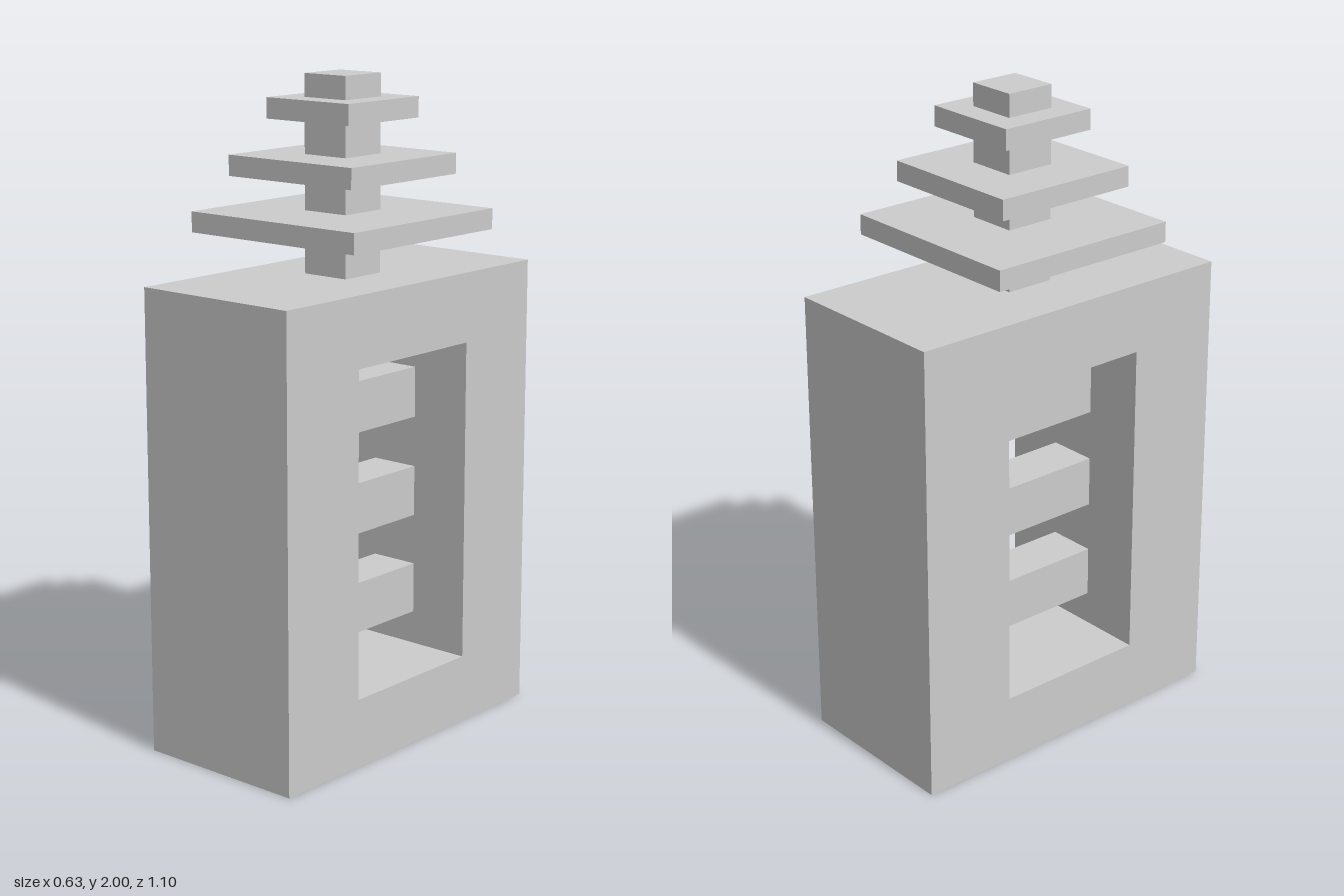
import * as THREE from 'three';

const material = new THREE.MeshStandardMaterial({ color: 0xcccccc, flatShading: true });

// Box standing between two heights, centred on the y axis
function block(name, width, depth, bottom, top) {
  const mesh = new THREE.Mesh(new THREE.BoxGeometry(width, top - bottom, depth), material);
  mesh.position.y = (bottom + top) / 2;
  mesh.name = name;
  return mesh;
}

// Rectangular outline from two opposite corners
function rectangle(path, x0, y0, x1, y1) {
  path.moveTo(x0, y0).lineTo(x1, y0).lineTo(x1, y1).lineTo(x0, y1).closePath();
  return path;
}

export function createModel() {
  const model = new THREE.Group();
  model.name = 'tower';

  // Main slab with a tall window cut through from side to side
  const bodyWidth = 0.549, bodyHeight = 1.412, halfDepth = 0.549, halfWindow = 0.247;
  const outline = rectangle(new THREE.Shape(), -halfDepth, 0, halfDepth, bodyHeight);
  outline.holes.push(rectangle(new THREE.Path(), -halfWindow, 0.21, halfWindow, 1.2));
  const bodyGeometry = new THREE.ExtrudeGeometry(outline, { depth: bodyWidth, bevelEnabled: false });
  bodyGeometry.translate(0, 0, -bodyWidth / 2).rotateY(Math.PI / 2);
  const body = new THREE.Mesh(bodyGeometry, material);
  body.name = 'body';
  model.add(body);

  // Three square bars across the window
  for (let i = 1; i <= 3; i++) {
    const bottom = i * 0.3137;
    model.add(block(`windowBar${i}`, 0.157, 2 * halfWindow, bottom, bottom + 0.157));
  }

  // Mast with three square plates shrinking upwards
  model.add(block('mast', 0.157, 0.157, bodyHeight, 2));
  [[0.627, 1.569], [0.471, 1.734], [0.314, 1.9]].forEach(([size, y], i) => {
    model.add(block(`mastPlate${i + 1}`, size, size, y - 0.031, y + 0.031));
  });

  return model;
}
